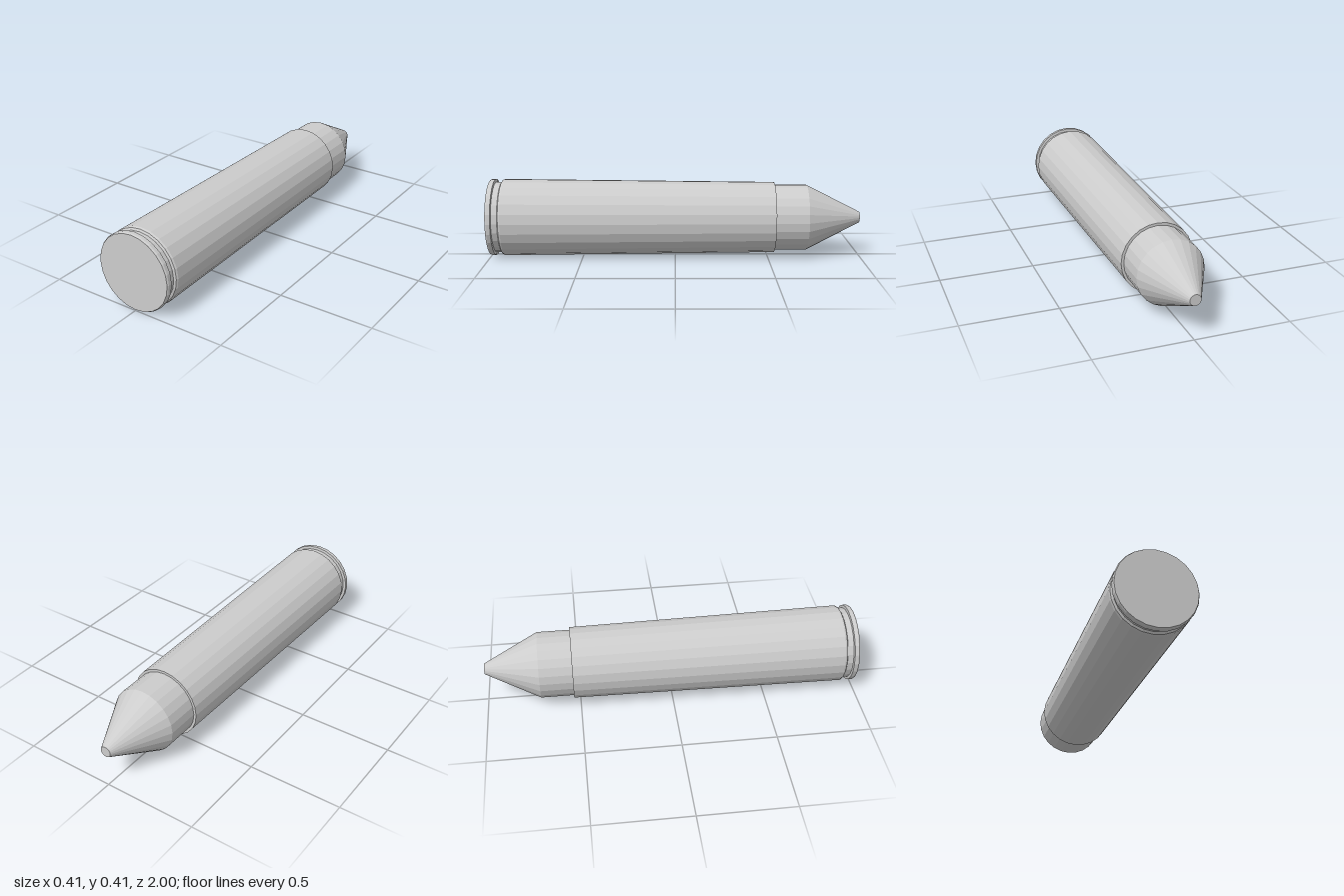
import * as THREE from 'three';

const SIDES = 24;
const RADIUS = 0.2075;

// Faceted turned part; profile is [radius, z] from the tip (-z) to the base (+z)
function turned(name, profile, material) {
  const points = profile.map(([r, z]) => new THREE.Vector2(r, z));
  const geometry = new THREE.LatheGeometry(points, SIDES).rotateX(Math.PI / 2).toNonIndexed();
  geometry.computeVertexNormals();
  const mesh = new THREE.Mesh(geometry, material);
  mesh.name = name;
  mesh.position.y = RADIUS;
  return mesh;
}

export function createModel() {
  const group = new THREE.Group();
  group.name = 'cartridge';
  const metal = new THREE.MeshStandardMaterial({ color: 0xcccccc });
  metal.name = 'grey metal';

  // Blunt-tipped cone with a short straight shank
  group.add(turned('bullet', [[0, -1], [0.029, -1], [0.177, -0.71], [0.177, -0.535]], metal));

  // Slightly tapered case with an open-mouth lip and a chamfered rear edge
  group.add(turned('case', [
    [0.177, -0.535], [0.191, -0.535], [RADIUS, 0.922], [0.203, 0.932], [0.192, 0.938],
  ], metal));

  // Extraction groove
  group.add(turned('groove', [[0.192, 0.938], [0.192, 0.97]], metal));

  // Rim and flat base
  group.add(turned('rim', [
    [0.192, 0.97], [RADIUS, 0.972], [RADIUS, 0.992], [0.203, 1], [0, 1],
  ], metal));

  return group;
}
